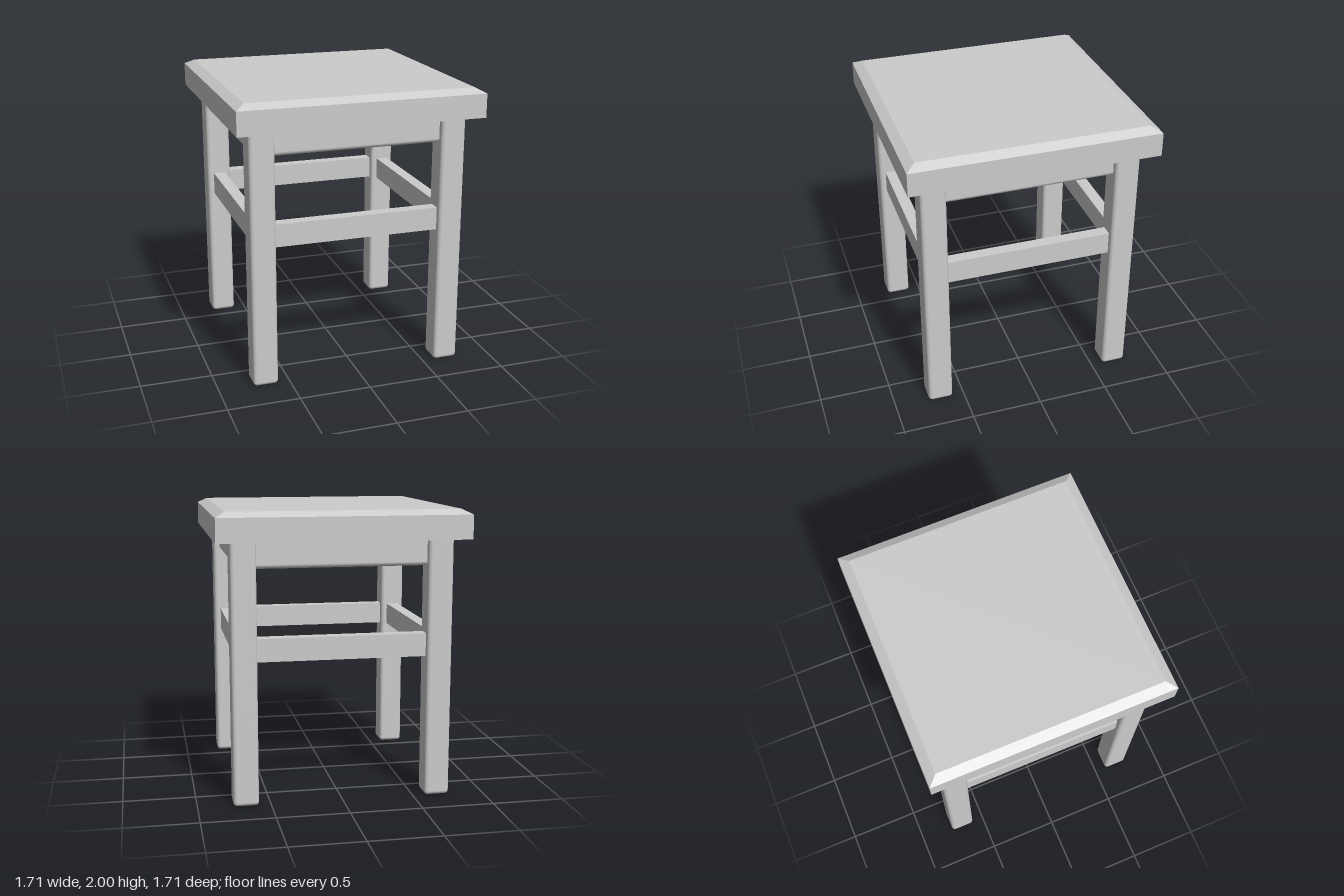
import * as THREE from 'three';
import { RoundedBoxGeometry } from 'three/addons/geometries/RoundedBoxGeometry.js';

export function createModel() {
  const stool = new THREE.Group();
  stool.name = 'stool';
  const smooth = new THREE.MeshStandardMaterial({ color: 0xcccccc });
  const flat = new THREE.MeshStandardMaterial({ color: 0xcccccc, flatShading: true });

  const add = (name, geometry, material, parent = stool) => {
    const mesh = new THREE.Mesh(geometry, material);
    mesh.name = name;
    parent.add(mesh);
    return mesh;
  };

  // Square seat with a chamfered top edge: half-width and height pairs, turned in four sides
  const profile = [[0, 1.8], [0.855, 1.8], [0.855, 1.965], [0.79, 2], [0, 2]]
    .map(([half, y]) => new THREE.Vector2(half * Math.SQRT2, y));
  add('seat', new THREE.LatheGeometry(profile, 4, Math.PI / 4), flat);

  // Four square legs with softened edges and rounded feet, tops set into the seat
  const legInset = 0.67, legTop = 1.85;
  const legGeometry = new RoundedBoxGeometry(0.175, legTop, 0.175, 4, 0.027);
  for (const x of [-1, 1]) for (const z of [-1, 1]) {
    const name = (z > 0 ? 'front' : 'back') + (x > 0 ? 'Left' : 'Right') + 'Leg';
    add(name, legGeometry, smooth).position.set(x * legInset, legTop / 2, z * legInset);
  }

  // On each side: a round-edged apron under the seat and a plain stretcher below it
  const apronGeometry = new RoundedBoxGeometry(1.3, 0.245, 0.085, 4, 0.03);
  const stretcherGeometry = new THREE.BoxGeometry(1.3, 0.16, 0.085);
  ['front', 'left', 'back', 'right'].forEach((side, i) => {
    const frame = new THREE.Group();
    frame.name = side + 'Rails';
    frame.rotation.y = i * Math.PI / 2;
    add(side + 'Apron', apronGeometry, smooth, frame).position.set(0, 1.7375, legInset);
    add(side + 'Stretcher', stretcherGeometry, flat, frame).position.set(0, 1.07, legInset);
    stool.add(frame);
  });

  return stool;
}
